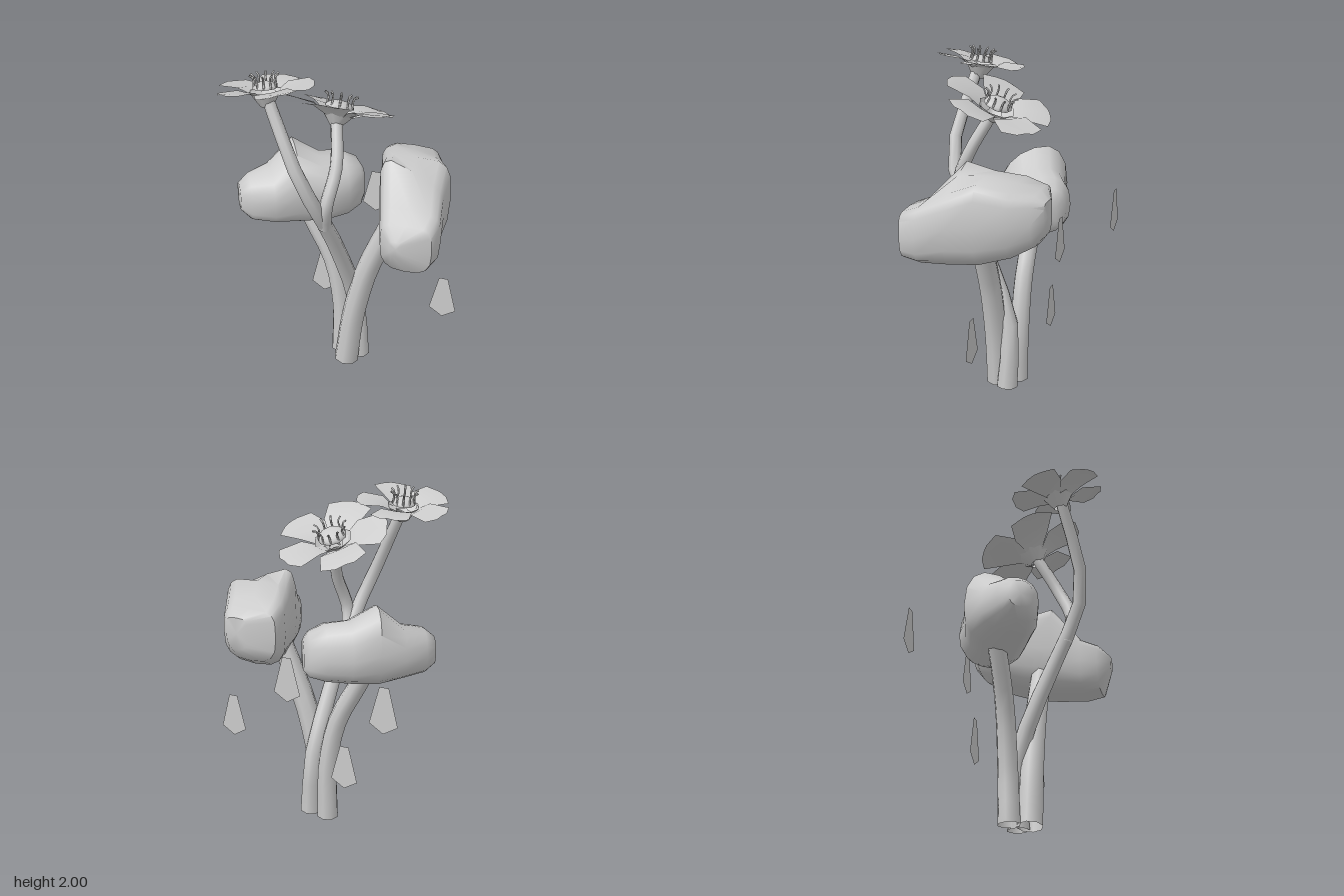
import * as THREE from 'three';
import { toCreasedNormals } from 'three/addons/utils/BufferGeometryUtils.js';

const grey = new THREE.MeshStandardMaterial({ color: 0xcccccc, side: THREE.DoubleSide });
grey.name = 'light grey';

function add(parent, name, geometry) {
  const mesh = new THREE.Mesh(geometry, grey);
  mesh.name = name;
  parent.add(mesh);
  return mesh;
}

function fromGrid(points, index) {
  const geo = new THREE.BufferGeometry();
  geo.setAttribute('position', new THREE.Float32BufferAttribute(points, 3));
  geo.setIndex(index);
  geo.computeVertexNormals();
  return geo;
}

// Closed bud lofted along z; each section is [z, xMin, xMax, yMin, yMax, topLean, bottomLean].
// A smaller topPower gives squarer upper corners.
function budGeometry(sections, topPower) {
  const n = 16, pos = [], idx = [];
  const power = (v, e) => Math.sign(v) * Math.pow(Math.abs(v), e);
  sections.forEach(([z, x0, x1, y0, y1, top = 0, bottom = 0]) => {
    for (let j = 0; j < n; j++) {
      const t = (j / n) * Math.PI * 2;
      const e = Math.sin(t) > 0 ? topPower : 0.7;
      const c = power(Math.cos(t), e), k = power(Math.sin(t), e);
      const lean = c * Math.abs(k) * (k > 0 ? top : bottom);
      pos.push((x0 + x1) / 2 + (c * (x1 - x0)) / 2, (y0 + y1) / 2 + (k * (y1 - y0)) / 2 + lean, z);
    }
  });
  const last = sections.length - 1;
  for (let s = 0; s < last; s++) {
    for (let j = 0; j < n; j++) {
      const a = s * n + j, b = s * n + ((j + 1) % n);
      idx.push(a, b, a + n, b, b + n, a + n);
    }
  }
  // End caps
  [0, last].forEach((s) => {
    const [z, x0, x1, y0, y1] = sections[s];
    const centre = pos.length / 3;
    pos.push((x0 + x1) / 2, (y0 + y1) / 2, z);
    for (let j = 0; j < n; j++) {
      const a = s * n + j, b = s * n + ((j + 1) % n);
      if (s === 0) idx.push(centre, b, a);
      else idx.push(centre, a, b);
    }
  });
  return toCreasedNormals(fromGrid(pos, idx), 0.9);
}

// Open tapered tube through points
function stem(parent, name, points, r0, r1) {
  const curve = new THREE.CatmullRomCurve3(points.map((p) => new THREE.Vector3(...p)));
  const seg = 10, sides = 8;
  const geo = new THREE.TubeGeometry(curve, seg, 1, sides);
  const p = geo.attributes.position, v = new THREE.Vector3();
  for (let i = 0; i < p.count; i++) {
    const t = Math.floor(i / (sides + 1)) / seg;
    const c = curve.getPointAt(t);
    v.fromBufferAttribute(p, i).sub(c).multiplyScalar(r0 + (r1 - r0) * Math.pow(t, 0.7)).add(c);
    p.setXYZ(i, v.x, v.y, v.z);
  }
  add(parent, name, geo);
}

// Open petal along +x: rows of [radius, halfWidth, middleHeight, edgeHeight]
function petalGeometry(R) {
  const rows = [[0.14, 0.11, -0.2, -0.18], [0.45, 0.34, -0.01, 0.01], [0.88, 0.42, 0.04, 0.03], [1, 0.17, 0.05, 0.03]];
  const pos = [], idx = [];
  rows.forEach(([r, w, m, e], i) => {
    pos.push(r * R, e * R, -w * R, r * R, m * R, 0, r * R, e * R, w * R);
    if (i < rows.length - 1) {
      for (let k = 0; k < 2; k++) {
        const a = i * 3 + k;
        idx.push(a, a + 1, a + 3, a + 1, a + 4, a + 3);
      }
    }
  });
  return fromGrid(pos, idx);
}

function flower(parent, name, centre, normal, R, startAngle, core) {
  const g = new THREE.Group();
  g.name = name;
  g.position.set(...centre);
  g.quaternion.setFromUnitVectors(new THREE.Vector3(0, 1, 0), new THREE.Vector3(...normal).normalize());
  parent.add(g);
  // Five petals, each rolled slightly so neighbours overlap
  const petal = petalGeometry(R);
  for (let i = 0; i < 5; i++) {
    const holder = new THREE.Group();
    holder.name = 'petalHolder';
    holder.rotation.y = -THREE.MathUtils.degToRad(startAngle + i * 72);
    g.add(holder);
    add(holder, 'petal', petal).rotation.x = 0.08;
  }
  // Domed centre and the cup under it
  add(g, 'flowerCentre', new THREE.SphereGeometry(core, 9, 4, 0, Math.PI * 2, 0, Math.PI / 2)).scale.y = 0.5;
  add(g, 'flowerCup', new THREE.CylinderGeometry(core * 1.3, 0.036, 0.085, 8, 1, true)).position.y = -0.0575;
  // Hooked stamens
  const hook = new THREE.CatmullRomCurve3([
    new THREE.Vector3(core * 0.9, 0, 0),
    new THREE.Vector3(core * 0.88, 0.06, 0),
    new THREE.Vector3(core * 1.15, 0.075, 0),
  ]);
  const stamen = new THREE.TubeGeometry(hook, 4, 0.006, 4);
  for (let i = 0; i < 10; i++) {
    add(g, 'stamen', stamen).rotation.y = (i / 10) * Math.PI * 2;
  }
}

export function createModel() {
  const model = new THREE.Group();
  model.name = 'flowerCluster';

  // Stems
  stem(model, 'leftStem', [[-0.065, 0.01, -0.1], [-0.07, 0.35, -0.11], [-0.13, 0.66, -0.11], [-0.25, 0.9, -0.11], [-0.33, 1.05, -0.12]], 0.066, 0.053);
  stem(model, 'rightStem', [[0, 0.01, 0], [0.045, 0.35, 0], [0.12, 0.66, 0], [0.18, 0.82, 0], [0.28, 1.05, 0]], 0.076, 0.064);
  stem(model, 'tallStem', [[0.058, 0.01, -0.08], [0.035, 0.4, -0.085], [0, 0.72, 0.035], [-0.04, 1.05, 0.2], [-0.09, 1.27, 0.315], [-0.165, 1.46, 0.35], [-0.34, 1.84, 0.285]], 0.066, 0.034);
  stem(model, 'branchStem', [[-0.05, 1.08, 0.225], [-0.025, 1.24, 0.265], [0.005, 1.45, 0.18], [-0.035, 1.67, 0.06]], 0.042, 0.034);

  // Large closed buds
  add(model, 'rightBud', budGeometry([
    [-0.43, 0.28, 0.41, 1.15, 1.34],
    [-0.37, 0.13, 0.46, 1.07, 1.38],
    [-0.25, 0.13, 0.52, 1.0, 1.41, -0.02],
    [-0.09, 0.18, 0.595, 0.96, 1.45],
    [0.07, 0.22, 0.6, 0.94, 1.44, -0.09],
    [0.24, 0.28, 0.63, 0.945, 1.29],
    [0.34, 0.315, 0.61, 0.96, 1.25],
    [0.41, 0.39, 0.46, 1.09, 1.18],
  ], 0.45));
  const leftBud = add(model, 'leftBud', budGeometry([
    [-0.16, -0.31, -0.19, 1.04, 1.22],
    [-0.13, -0.37, -0.14, 1.0, 1.27, -0.02, -0.02],
    [-0.04, -0.42, -0.08, 0.97, 1.31, -0.03, -0.03],
    [0.1, -0.43, -0.06, 0.95, 1.32, -0.04, -0.03],
    [0.25, -0.47, -0.06, 0.95, 1.41, -0.05, -0.03],
    [0.4, -0.42, -0.08, 0.97, 1.28, -0.02, -0.03],
    [0.53, -0.36, -0.12, 0.99, 1.25, 0, -0.02],
    [0.59, -0.31, -0.17, 1.04, 1.2],
  ], 0.88));
  leftBud.rotation.y = -1.0;

  // Open flowers
  flower(model, 'tallFlower', [-0.365, 1.905, 0.266], [-0.12, 1, -0.14], 0.265, -20, 0.07);
  flower(model, 'lowFlower', [-0.035, 1.735, 0.02], [0.08, 1, -0.42], 0.318, 18, 0.085);

  // Falling petals
  const kite = new THREE.Shape([[-0.027, 0.135], [-0.082, -0.083], [0, -0.135], [0.082, -0.083], [0.027, 0.135]].map((p) => new THREE.Vector2(...p)));
  const kiteGeometry = new THREE.ShapeGeometry(kite);
  [[-0.238, 0.445, -0.25], [0.583, 0.545, -0.08], [0.05, 1.005, -0.4], [-0.585, 0.995, -0.53]].forEach((p) => {
    add(model, 'fallingPetal', kiteGeometry).position.set(...p);
  });
  return model;
}
